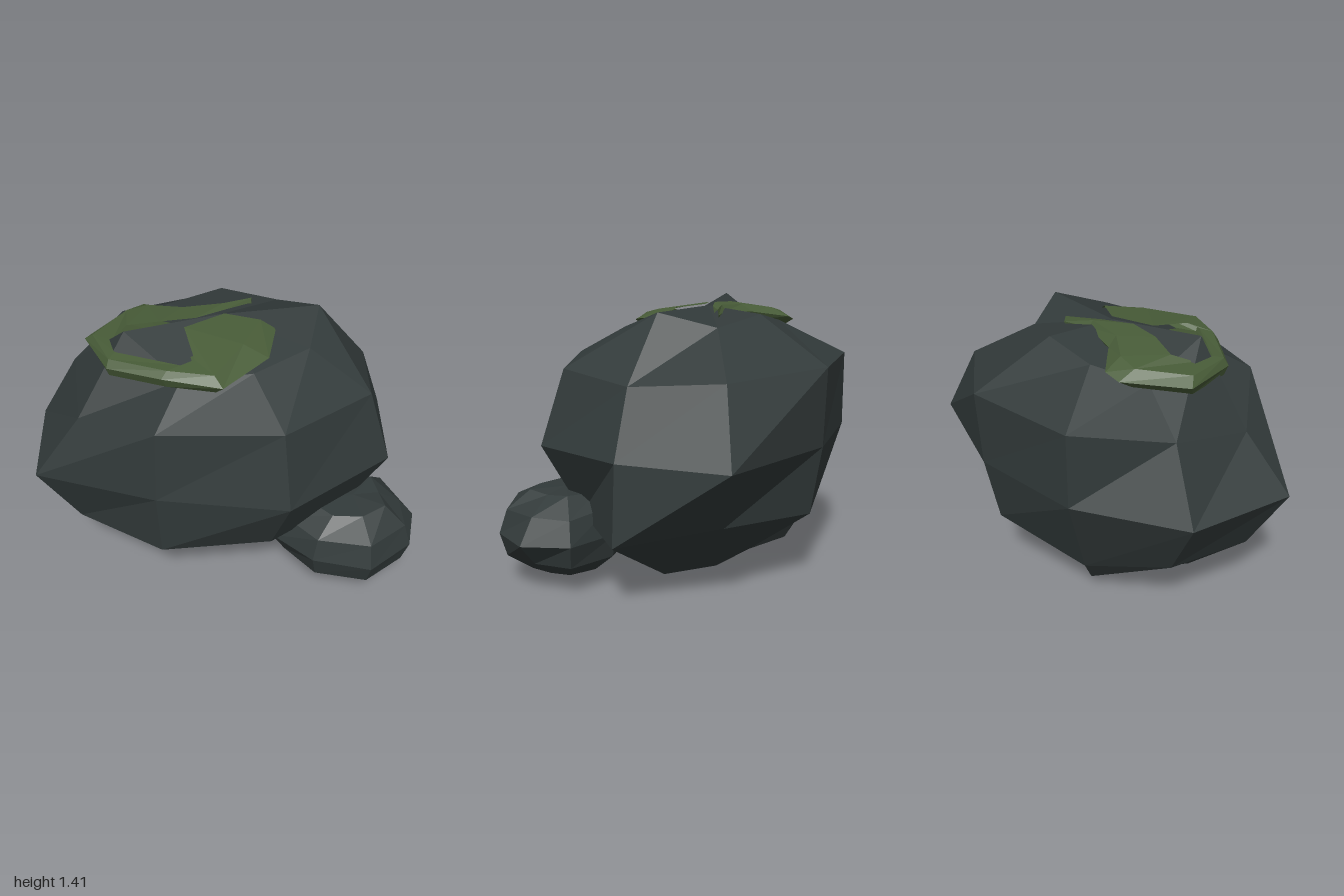
import * as THREE from 'three';

// Flat-shaded surface through cross-section rings; a one-point ring is a pole.
function skin(rings, closed = true) {
  const pos = [];
  const tri = (a, b, c) => {
    if (a !== b && b !== c && a !== c) pos.push(...a, ...b, ...c);
  };
  for (let j = 0; j < rings.length - 1; j++) {
    const lo = rings[j], hi = rings[j + 1];
    const n = Math.max(lo.length, hi.length);
    for (let k = 0; k < (closed ? n : n - 1); k++) {
      const a = lo[k % lo.length], c = lo[(k + 1) % lo.length];
      const b = hi[k % hi.length], d = hi[(k + 1) % hi.length];
      tri(a, b, c);
      tri(c, b, d);
    }
  }
  const geo = new THREE.BufferGeometry();
  geo.setAttribute('position', new THREE.Float32BufferAttribute(pos, 3));
  geo.computeVertexNormals();
  return geo;
}

// Uneven boulder: each row gives a height (or one per corner) and reach factors.
function boulder(cx, cz, sx, sz, bottom, top, rows) {
  const rings = rows.map(([y, reach]) => reach.map((f, k) => {
    const a = (k / reach.length) * Math.PI * 2;
    return [cx + sx * f * Math.cos(a), Array.isArray(y) ? y[k] : y, cz + sz * f * Math.sin(a)];
  }));
  return skin([[[cx, bottom, cz]], ...rings, [[cx, top, cz]]]);
}

export function createModel() {
  const model = new THREE.Group();
  const stone = new THREE.MeshStandardMaterial({ color: 0x323a3a, flatShading: true });
  stone.name = 'dark stone';
  const green = new THREE.MeshStandardMaterial({ color: 0x485c38, flatShading: true, side: THREE.DoubleSide });
  green.name = 'moss green';
  const add = (name, geo, mat) => {
    const mesh = new THREE.Mesh(geo, mat);
    mesh.name = name;
    model.add(mesh);
  };

  // Large boulder, nine sides
  add('largeRock', boulder(0.01, -0.07, 1, 0.78, 0.005, 1.38, [
    [[0.055, 0.09, 0.1, 0.1, 0.07, 0.1, 0.08, 0.1, 0.1], [0.48, 0.5, 0.45, 0.48, 0.52, 0.42, 0.52, 0.36, 0.46]],
    [[0.34, 0.36, 0.37, 0.36, 0.37, 0.37, 0.23, 0.38, 0.4], [0.94, 0.8, 0.82, 0.84, 0.86, 0.78, 0.64, 0.84, 0.79]],
    [0.73, [0.91, 1.02, 1.04, 0.88, 1.07, 1, 0.89, 0.92, 1.09]],
    [[1.06, 1.1, 1.12, 1.11, 1.0, 1.08, 1.12, 1.12, 1.09], [0.79, 0.88, 0.92, 0.85, 0.81, 0.79, 0.89, 0.94, 0.88]],
    [[1.375, 1.29, 1.26, 1.25, 1.42, 1.23, 1.3, 1.35, 1.3], [0.52, 0.52, 0.5, 0.53, 0.53, 0.47, 0.45, 0.43, 0.47]],
  ]), stone);

  // Small stone leaning at the front left, eight sides
  add('smallRock', boulder(0.63, 0.425, 0.41, 0.34, 0.04, 0.49, [
    [[0.07, 0.07, 0.07, 0.07, 0.08, 0.08, 0.07, 0.08], [0.36, 0.48, 0.5, 0.5, 0.54, 0.52, 0.5, 0.5]],
    [0.16, [0.65, 0.82, 0.92, 0.86, 0.88, 0.86, 0.82, 0.82]],
    [0.28, [0.9, 0.91, 1.04, 0.95, 1.07, 1.0, 0.88, 0.93]],
    [[0.4, 0.4, 0.41, 0.4, 0.4, 0.41, 0.42, 0.4], [0.67, 0.8, 0.92, 0.86, 0.9, 0.86, 0.8, 0.82]],
    [[0.48, 0.49, 0.48, 0.48, 0.48, 0.48, 0.48, 0.49], [0.36, 0.48, 0.48, 0.52, 0.56, 0.52, 0.54, 0.5]],
  ]), stone);

  // Curling moss patch: outer x, z, rim height, then inner x, z, height
  const stations = [
    [0.21, -0.23, 1.345, 0.2, -0.2, 1.355],
    [0.05, -0.19, 1.355, 0.04, -0.11, 1.38],
    [-0.18, -0.24, 1.34, -0.12, -0.04, 1.39],
    [-0.34, -0.38, 1.31, -0.3, -0.05, 1.385],
    [-0.43, -0.37, 1.29, -0.46, -0.09, 1.36],
    [-0.67, -0.14, 1.28, -0.54, -0.01, 1.33],
    [-0.59, 0.16, 1.28, -0.54, 0.1, 1.33],
    [-0.35, 0.32, 1.29, -0.25, 0.28, 1.33],
    [-0.08, 0.44, 1.28, -0.18, 0.26, 1.34],
    [0.18, 0.27, 1.31, -0.19, 0.03, 1.385],
    [0.27, 0.05, 1.335, 0.03, -0.06, 1.388],
  ];
  // Point at fraction t from rim to inner edge, lifted by dy
  const strip = (t, dy) => stations.map(([x, z, y, u, w, v]) =>
    [x + (u - x) * t, y + (v - y) * t + dy, z + (w - z) * t]);
  const moss = [strip(1, 0), strip(0.3, 0.025), strip(0, 0), strip(0.25, -0.06), strip(1, -0.06)];
  add('mossPatch', skin(moss, false), green);

  return model;
}
